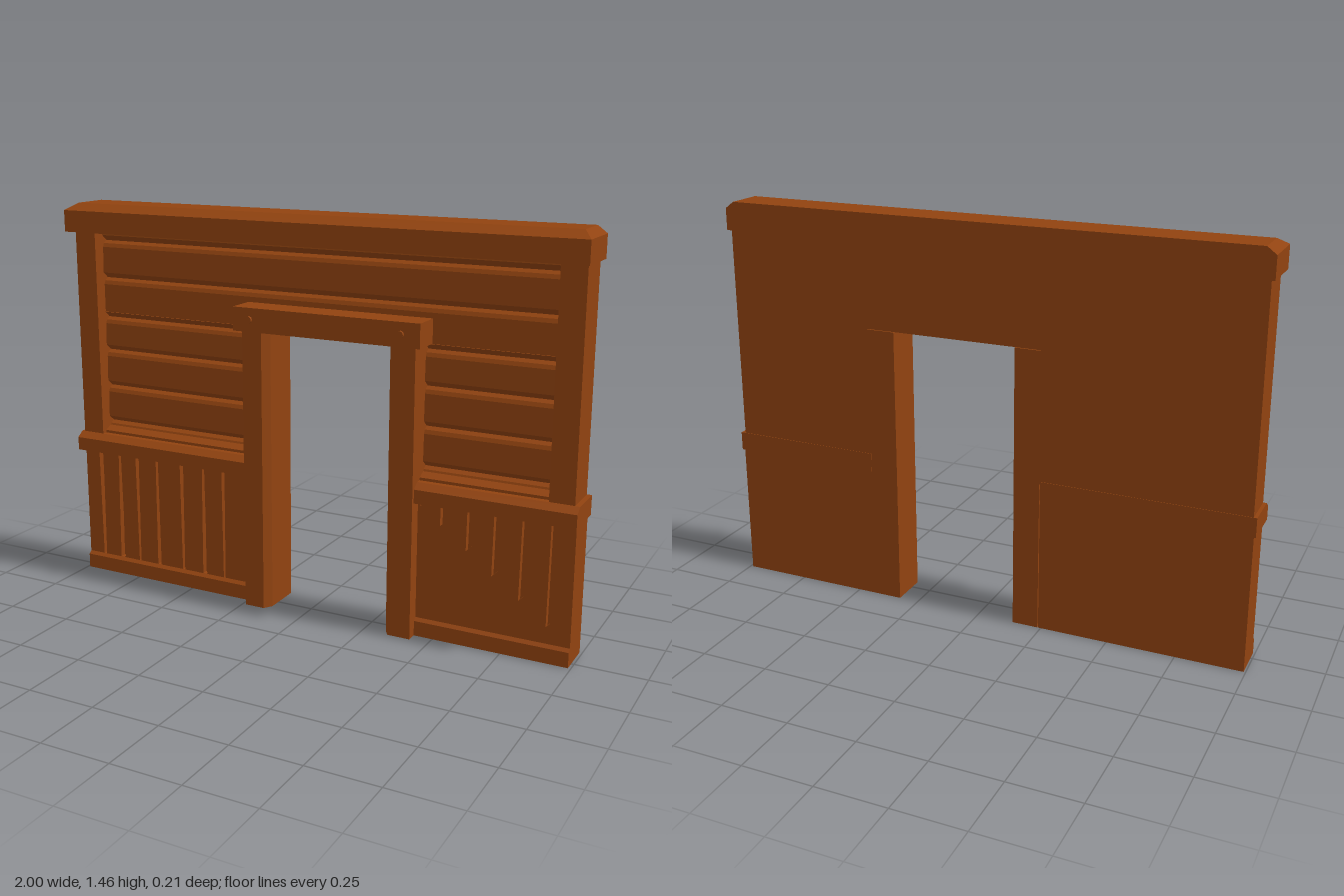
import * as THREE from 'three';

const wood = new THREE.MeshStandardMaterial({ color: 0x914310 });
wood.name = 'brown wood';

const BACK = -0.1;

export function createModel() {
  const group = new THREE.Group();
  group.name = 'doorwayWall';

  const add = (name, geometry) => {
    const mesh = new THREE.Mesh(geometry, wood);
    mesh.name = name;
    group.add(mesh);
    return mesh;
  };
  const box = (name, x0, x1, y0, y1, z0, z1) => {
    const g = new THREE.BoxGeometry(x1 - x0, y1 - y0, z1 - z0);
    g.translate((x0 + x1) / 2, (y0 + y1) / 2, (z0 + z1) / 2);
    return add(name, g);
  };
  const outline = (pts) => new THREE.Shape(pts.map(([a, b]) => new THREE.Vector2(a, b)));
  // Sweep a [z, y] profile along x
  const sweep = (name, pts, x0, x1) => {
    const g = new THREE.ExtrudeGeometry(outline(pts), { depth: x1 - x0, bevelEnabled: false });
    g.rotateY(-Math.PI / 2);
    g.translate(x1, 0, 0);
    return add(name, g);
  };

  // Top beam: straight body and a cap bevelled at the front and both ends
  const beamBack = BACK - 0.004;
  box('topBeam', -1, 1, 1.355, 1.435, beamBack, 0.083);
  const cap = sweep('topBeamCap',
    [[beamBack, 1.435], [0.083, 1.435], [0.035, 1.46], [beamBack, 1.46]], -1, 1);
  const pos = cap.geometry.attributes.position;
  for (let i = 0; i < pos.count; i++) {
    if (pos.getY(i) > 1.45) pos.setX(i, pos.getX(i) * 0.967);
  }
  cap.geometry.computeVertexNormals();

  // Corner posts
  box('cornerPostRight', -0.988, -0.9, 0.5, 1.355, BACK, 0.035);
  box('cornerPostLeft', 0.895, 0.983, 0.5, 1.355, BACK, 0.035);

  // Horizontal siding, set back from the posts: undercut above and rounded lip below each seam
  const face = -0.014;
  const siding = (name, x0, x1, y0, y1, seams) => {
    const pts = [[BACK, y0], [face, y0]];
    for (const y of seams) {
      pts.push([face, y - 0.045], [face - 0.006, y - 0.031], [face - 0.022, y - 0.021], [face + 0.003, y]);
    }
    pts.push([face, y1], [BACK, y1]);
    sweep(name, pts, x0, x1);
  };
  siding('sidingAboveDoor', -0.9, 0.895, 1.045, 1.355, [1.196, 1.338]);
  for (const [name, x0, x1] of [['sidingRight', -0.9, -0.235], ['sidingLeft', 0.43, 0.895]]) {
    siding(name, x0, x1, 0.56, 1.045, [0.632, 0.774, 0.916, 1.0445]);
    // Small ledge strip above the rail
    sweep('ledgeStrip', [[face, 0.56], [0.015, 0.56], [0.015, 0.58], [face, 0.595]], x0, x1);
  }

  // Door posts with a bevelled inner front edge
  const doorPost = (name, outer, inner) => {
    const s = Math.sign(inner - outer);
    const pts = [[outer, BACK], [inner, BACK], [inner, 0.045], [inner - s * 0.02, 0.077], [outer, 0.077]];
    const g = new THREE.ExtrudeGeometry(outline(pts.map(([x, z]) => [x, -z])),
      { depth: 1.043, bevelEnabled: false });
    g.rotateX(-Math.PI / 2);
    add(name, g);
  };
  doorPost('doorPostRight', -0.237, -0.14);
  doorPost('doorPostLeft', 0.43, 0.325);

  // Lintel and its two pegs
  box('lintel', -0.263, 0.453, 1.046, 1.132, face - 0.005, 0.095);
  for (const x of [-0.197, 0.383]) {
    const g = new THREE.CylinderGeometry(0.013, 0.013, 0.02, 8);
    g.rotateX(Math.PI / 2);
    g.translate(x, 1.09, 0.095);
    add('lintelPeg', g);
  }

  // Lower wall: backing, grooved panel, rail and baseboard on each side
  const lowerWall = (side, x0, x1, end0, end1, grooves) => {
    box('lowerCore' + side, x0, x1, 0, 0.56, BACK, 0.003);
    // Panel outline notched from the top, one tapering notch per [x, top width, bottom width, bottom]
    const pts = [[x0, 0.001], [x1, 0.001], [x1, 0.51]];
    for (const [x, w, b, bottom] of [...grooves].reverse()) {
      pts.push([x + w / 2, 0.51], [x + b / 2, bottom + b], [x - b / 2, bottom], [x - w / 2, 0.51]);
    }
    pts.push([x0, 0.51]);
    const g = new THREE.ExtrudeGeometry(outline(pts), { depth: 0.024, bevelEnabled: false });
    g.translate(0, 0, 0.002);
    add('plankPanel' + side, g);
    sweep('rail' + side,
      [[BACK - 0.002, 0.5], [0.064, 0.5], [0.064, 0.55], [0.037, 0.57], [BACK - 0.002, 0.57]], end0, end1);
    sweep('baseboard' + side,
      [[BACK, 0], [0.038, 0], [0.038, 0.055], [0.025, 0.067], [BACK, 0.067]], x0, x1);
  };
  lowerWall('Right', -0.993, -0.24, -1, -0.24, [
    [-0.92, 0.02, 0.012, 0.05], [-0.832, 0.01, 0.022, 0.05], [-0.75, 0.016, 0.008, 0.05],
    [-0.658, 0.01, 0.016, 0.05], [-0.545, 0.016, 0.01, 0.05], [-0.448, 0.01, 0.018, 0.05],
    [-0.36, 0.014, 0.008, 0.05], [-0.258, 0.012, 0.02, 0.05],
  ]);
  lowerWall('Left', 0.43, 0.99, 0.43, 1, [
    [0.445, 0.012, 0.012, 0.48], [0.525, 0.022, 0.022, 0.42], [0.622, 0.02, 0.024, 0.345],
    [0.718, 0.02, 0.026, 0.27], [0.812, 0.01, 0.018, 0.2], [0.91, 0.008, 0.014, 0.125],
  ]);

  return group;
}
